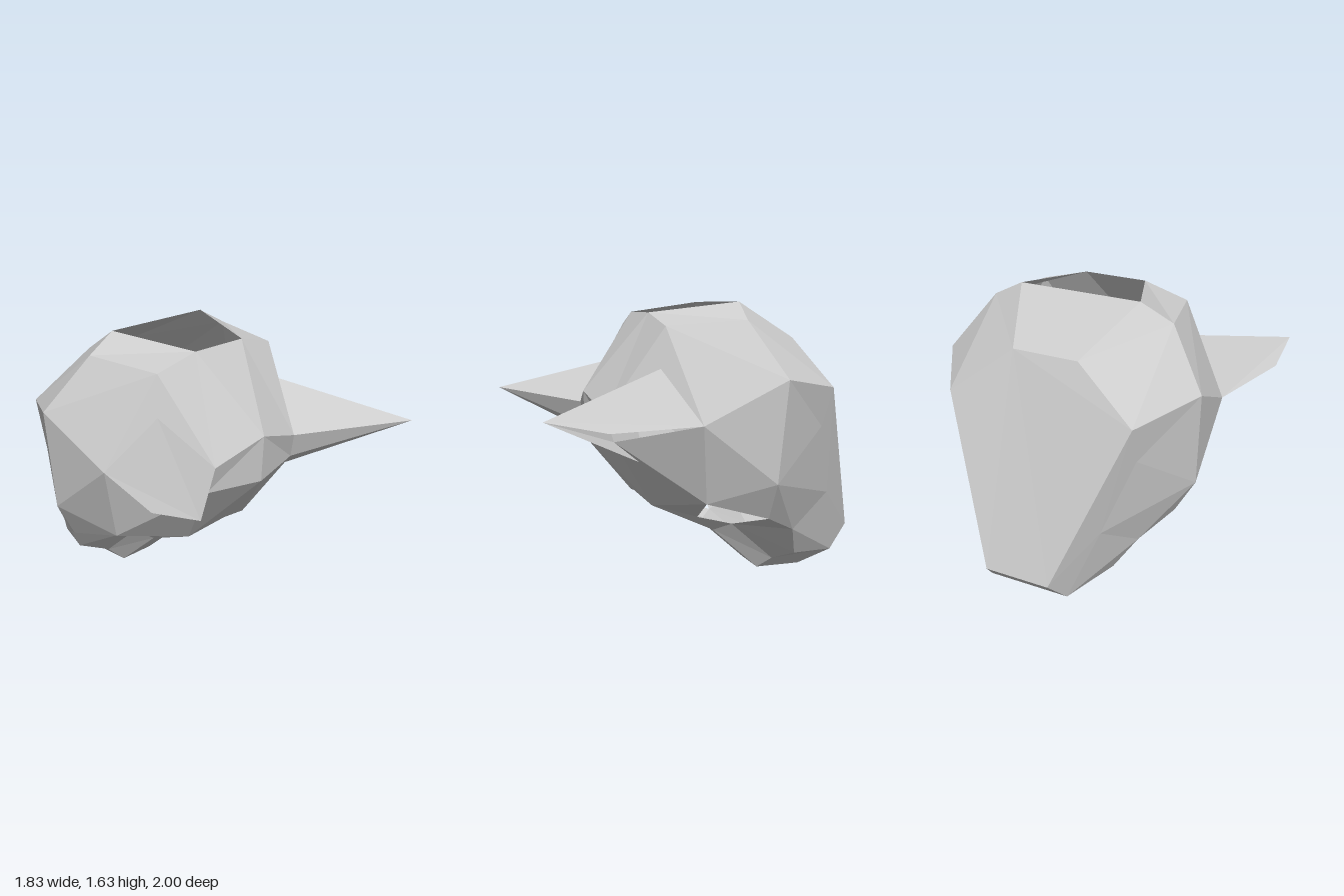
import * as THREE from 'three';

// Corner points of the left half (+x); a leading "-" in a face means the mirrored corner
const P = {
  rimFront: [0.19, 1.57, 0.28], rimBack: [0.36, 1.63, -0.2],
  crownFront: [0.46, 1.5, 0.26], crownBack: [0.545, 1.53, -0.18],
  side: [0.77, 1.22, -0.33], nape: [0.54, 1.15, -0.71], napeTop: [0.19, 1.42, -0.61], tail: [0.19, 0.25, -1],
  brow: [0, 1.12, 0.62], eyeIn: [0.34, 1.02, 0.57], eyeLow: [0.37, 0.87, 0.53], eyeOut: [0.745, 0.99, 0.14],
  nose: [0, 0.85, 0.61], lip: [0, 0.53, 0.34], muzzle: [0.24, 0.47, 0.28],
  cheek: [0.75, 0.655, -0.28], ear: [0.54, 0.93, -0.64], neck: [0.39, 0.51, -0.76],
  mouthTop: [0.62, 0.545, 0.08], mouthOut: [0.635, 0.44, -0.28], mouthIn: [0.26, 0.385, 0.01], mouthLow: [0.2, 0.31, -0.23],
  jaw: [0.5, 0.33, -0.49], jawLow: [0.38, 0.15, -0.56], jawIn: [0.19, 0.07, -0.5], jawBack: [0.24, 0.11, -0.87],
  chin: [0.12, 0.26, -0.14], baseFront: [0.12, 0, -0.43], baseBack: [0.12, 0, -0.71],
  hornTop: [0.5, 1.275, 0.3], hornTip: [0.915, 1.07, 1], hornOut: [0.915, 1, 0.68], hornLow: [0.42, 0.76, 0.4],
};

const corner = (name) => {
  const v = new THREE.Vector3(...P[name.replace('-', '')]);
  if (name[0] === '-') v.x *= -1;
  return v;
};
const mirrored = (faces) => faces.map((f) => f.split(' ').map((n) => (n[0] === '-' ? n.slice(1) : '-' + n)).join(' '));

// Flat polygons fanned into triangles, each turned away from the given centre
function shell(name, faces, centre) {
  const pos = [];
  for (const face of faces) {
    const pts = face.split(' ').map(corner);
    for (let i = 1; i < pts.length - 1; i++) {
      let [a, b, c] = [pts[0], pts[i], pts[i + 1]];
      const normal = b.clone().sub(a).cross(c.clone().sub(a));
      const mid = a.clone().add(b).add(c).divideScalar(3);
      if (normal.dot(mid.sub(centre)) < 0) [b, c] = [c, b];
      pos.push(...a.toArray(), ...b.toArray(), ...c.toArray());
    }
  }
  const geo = new THREE.BufferGeometry();
  geo.setAttribute('position', new THREE.Float32BufferAttribute(pos, 3));
  geo.computeVertexNormals();
  const mat = new THREE.MeshStandardMaterial({ color: 0xcccccc, flatShading: true, side: THREE.DoubleSide });
  const mesh = new THREE.Mesh(geo, mat);
  mesh.name = name;
  return mesh;
}

// Each part: faces on the left half (mirrored) and faces that cross the middle
const parts = {
  crown: {
    half: ['rimFront crownFront crownBack rimBack', 'crownBack side nape', 'crownBack nape napeTop',
      'rimBack crownBack napeTop', 'crownFront crownBack side', 'crownFront side eyeOut',
      'rimFront brow eyeIn', 'rimFront eyeIn crownFront', 'crownFront eyeIn eyeOut'],
    across: ['rimFront -rimFront brow', 'rimBack -rimBack -napeTop napeTop'],
  },
  backPanel: {
    half: [],
    across: ['napeTop nape tail -tail -nape -napeTop'],
  },
  face: {
    half: ['brow eyeIn eyeLow nose', 'nose eyeLow muzzle', 'nose muzzle lip', 'eyeLow mouthTop muzzle',
      'eyeLow eyeOut mouthTop', 'muzzle mouthTop mouthIn'],
    across: [],
  },
  cheeks: {
    half: ['eyeOut side cheek', 'eyeOut cheek mouthTop', 'mouthTop cheek mouthOut', 'side ear cheek',
      'side nape ear', 'cheek ear neck', 'cheek neck jaw', 'cheek jaw mouthOut', 'nape tail neck', 'nape neck ear'],
    across: [],
  },
  jaw: {
    half: ['mouthOut jaw mouthLow', 'mouthLow jaw jawLow jawIn', 'muzzle mouthIn mouthLow chin', 'lip muzzle chin',
      'chin mouthLow jawIn baseFront', 'jaw jawLow jawBack', 'jaw jawBack neck', 'neck jawBack tail',
      'jawIn jawLow jawBack baseBack', 'jawIn baseBack baseFront'],
    across: ['lip chin -chin', 'chin baseFront -baseFront -chin', 'baseFront baseBack -baseBack -baseFront',
      'baseBack jawBack -jawBack -baseBack', 'jawBack tail -tail -jawBack'],
  },
};

// Open spike shading the eye opening
const horn = ['hornTop eyeIn hornTip', 'hornTop hornTip eyeOut', 'eyeOut hornTip hornOut',
  'eyeIn eyeLow hornTip', 'eyeLow hornLow hornTip'];

export function createModel() {
  const group = new THREE.Group();
  group.name = 'mask';
  const centre = new THREE.Vector3(0, 0.75, -0.2);
  for (const [name, { half, across }] of Object.entries(parts))
    group.add(shell(name, [...half, ...mirrored(half), ...across], centre));
  group.add(shell('leftHorn', horn, new THREE.Vector3(0.62, 1.0, 0.5)));
  group.add(shell('rightHorn', mirrored(horn), new THREE.Vector3(-0.62, 1.0, 0.5)));
  return group;
}
